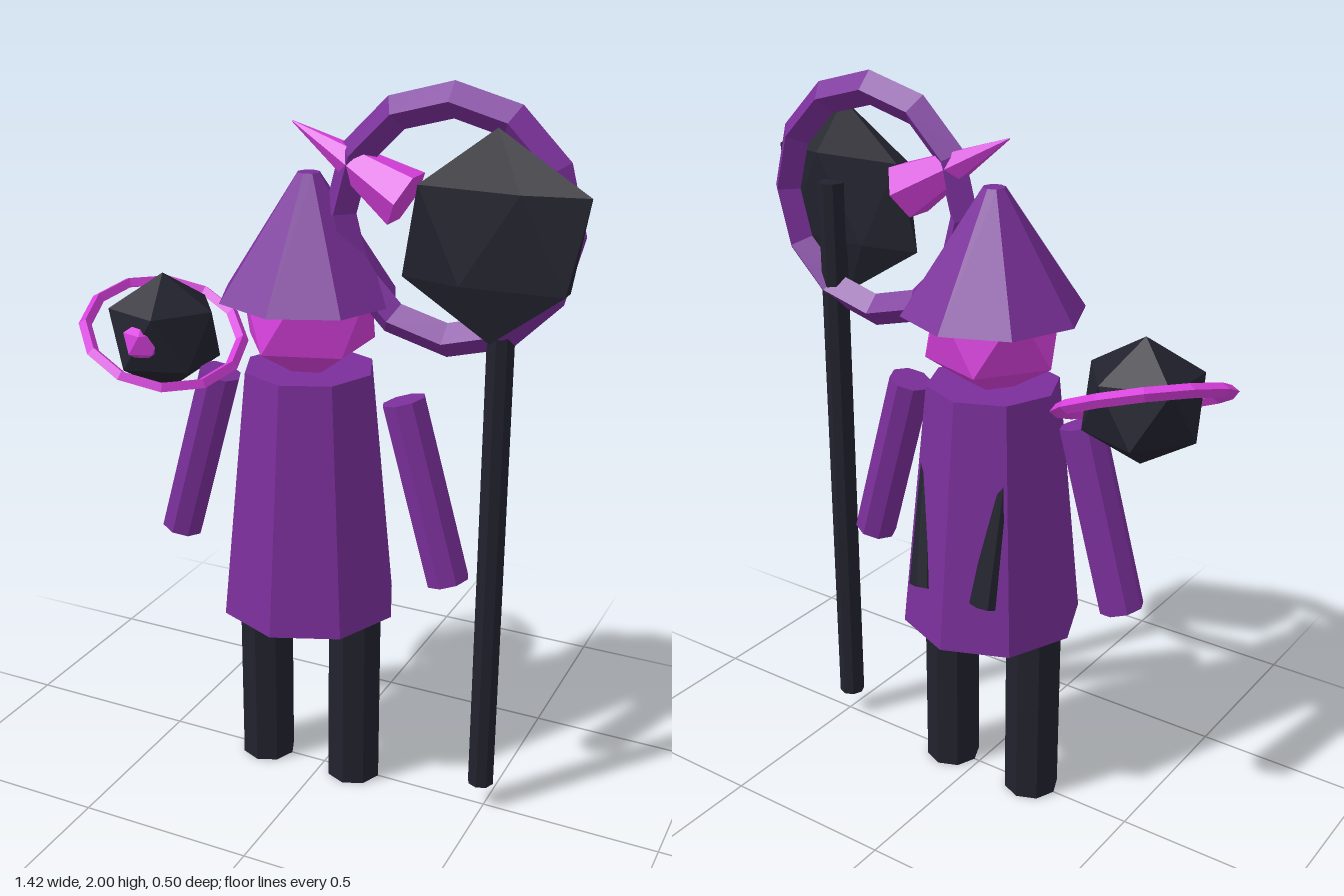
import * as THREE from 'three';

const material = (color) => new THREE.MeshStandardMaterial({ color, flatShading: true });

export function createModel() {
  const model = new THREE.Group();
  const purple = material(0x7b2f9b);
  const pink = material(0xd63fdc);
  const black = material(0x22222e);
  const cx = -0.045; // centre line of the figure

  const add = (name, geometry, mat, x = 0, y = 0, z = 0) => {
    const mesh = new THREE.Mesh(geometry, mat);
    mesh.name = name;
    mesh.position.set(x, y, z);
    model.add(mesh);
    return mesh;
  };

  // Faceted rod or cone running from point a (radius ra) to point b (radius rb)
  const rod = (name, mat, a, b, ra, rb, sides = 8) => {
    const start = new THREE.Vector3(...a), end = new THREE.Vector3(...b);
    const dir = end.clone().sub(start);
    const mesh = add(name, new THREE.CylinderGeometry(rb, ra, dir.length(), sides), mat);
    mesh.position.copy(start).add(end).multiplyScalar(0.5);
    mesh.quaternion.setFromUnitVectors(new THREE.Vector3(0, 1, 0), dir.normalize());
    return mesh;
  };

  // Twenty-sided ball standing on a corner
  const ball = (name, mat, r, x, y, z) => {
    const geometry = new THREE.IcosahedronGeometry(r, 0);
    geometry.rotateZ(-Math.atan(2 / (1 + Math.sqrt(5))));
    return add(name, geometry, mat, x, y, z);
  };

  // Figure
  rod('robe', purple, [cx, 0.53, 0], [cx, 1.23, 0], 0.25, 0.18);
  ball('head', pink, 0.2, cx, 1.39, 0);
  rod('hat', purple, [cx, 1.425, 0], [cx, 1.75, 0], 0.245, 0.03);

  for (const s of [1, -1]) {
    const side = s > 0 ? 'left' : 'right';
    rod(side + 'Leg', black, [cx + s * 0.14, 0, 0], [cx + s * 0.14, 0.58, 0], 0.078, 0.078);
    rod(side + 'Arm', purple, [cx + s * 0.415, 0.68, 0], [cx + s * 0.275, 1.175, 0], 0.06, 0.06);
    // Tapered tails hanging behind the robe
    const tail = rod(side + 'CoatTail', black,
      [cx + s * 0.1, 0.675, -0.193], [cx + s * 0.13, 1.18, -0.11], 0.042, 0.008);
    tail.scale.z = 0.65;
  }

  // Staff with ring, flattened orb and spike
  rod('staffPole', black, [0.488, 0.075, 0], [0.488, 1.69, 0], 0.037, 0.037);
  add('staffRing', new THREE.TorusGeometry(0.3, 0.045, 4, 12), purple, 0.345, 1.655, 0);
  ball('staffOrb', black, 0.265, 0.475, 1.64, 0.05).scale.z = 0.16;
  rod('staffSpike', pink, [0.225, 1.705, 0], [-0.09, 1.875, 0], 0.08, 0.002, 6);

  // Floating ball with its tilted ring and a small gem
  ball('floatingBall', black, 0.17, -0.485, 1.27, 0.015);
  ball('floatingGem', pink, 0.06, -0.485, 1.275, 0.125);
  const hoop = new THREE.TorusGeometry(0.218, 0.018, 4, 12);
  hoop.rotateX(Math.PI / 2);
  add('floatingRing', hoop, pink, -0.487, 1.27, 0.015).quaternion.setFromUnitVectors(
    new THREE.Vector3(0, 1, 0), new THREE.Vector3(0.38, 1, 0.35).normalize());

  return model;
}
